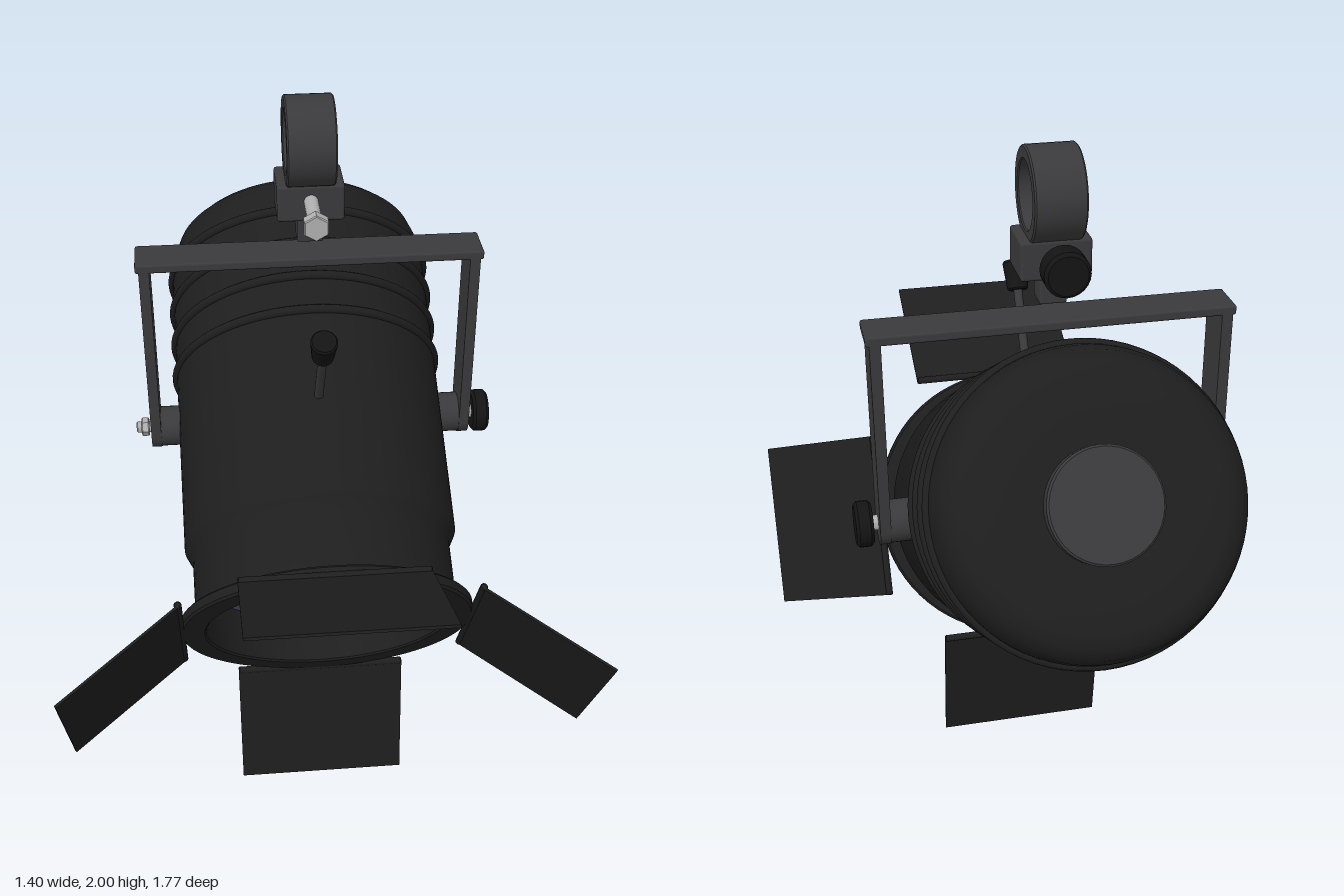
import * as THREE from 'three';
import { toCreasedNormals } from 'three/addons/utils/BufferGeometryUtils.js';
import { RoundedBoxGeometry } from 'three/addons/geometries/RoundedBoxGeometry.js';

const mat = (color, side = THREE.FrontSide) => new THREE.MeshStandardMaterial({ color, side });
const BLACK = mat(0x1e1e1e), KNOB = mat(0x141414), IRON = mat(0x3a3a3c);
const STEEL = mat(0xb0b0b0), GLASS = mat(0x4a5a66), DOOR = mat(0x1e1e1e, THREE.DoubleSide);

const PIVOT_Y = 1.04, PIVOT_Z = -0.213;

function add(parent, name, geometry, material, x = 0, y = 0, z = 0) {
  const mesh = new THREE.Mesh(geometry, material);
  mesh.name = name;
  mesh.position.set(x, y, z);
  parent.add(mesh);
  return mesh;
}

// Turned part around y, from [radius, height] pairs
function turned(profile, segments = 64, crease = 0.6) {
  const points = profile.map(([r, y]) => new THREE.Vector2(r, y));
  return toCreasedNormals(new THREE.LatheGeometry(points, segments), crease);
}

// Chamfered disc or rod centred on the origin, along y
function rod(radius, length, segments = 24, chamfer = 0.003) {
  const h = length / 2;
  return turned([[0, -h], [radius - chamfer, -h], [radius, -h + chamfer],
    [radius, h - chamfer], [radius - chamfer, h], [0, h]], segments);
}

// Lamp housing: local y is the beam axis, local -z is the upper side
function createLamp() {
  const lamp = new THREE.Group();
  lamp.name = 'lamp';

  add(lamp, 'housing', turned([
    [0, -0.612], [0.2, -0.611], [0.29, -0.607], [0.325, -0.595], [0.35, -0.57], [0.364, -0.53],
    [0.371, -0.49], [0.373, -0.46], [0.373, 0.385], [0.368, 0.395], [0.352, 0.425], [0.352, 0.59],
    [0.388, 0.59], [0.394, 0.596], [0.394, 0.619], [0.388, 0.625], [0.33, 0.625], [0.325, 0.62],
    [0.325, 0.48], [0, 0.48],
  ], 72), BLACK);

  for (let i = 0; i < 4; i++) {
    const rib = new THREE.TorusGeometry(0.373, 0.013, 10, 72).rotateX(Math.PI / 2);
    add(lamp, 'coolingRib', rib, BLACK, 0, -0.143 - i * 0.106, 0);
  }
  add(lamp, 'rearCap', rod(0.135, 0.05, 40, 0.005), IRON, 0, -0.625, 0);
  add(lamp, 'lens', turned([[0.322, 0.482], [0.315, 0.494], [0.24, 0.514], [0.16, 0.528],
    [0.08, 0.536], [0, 0.538]], 64), GLASS);

  // Focus lever on the upper side
  add(lamp, 'focusLever', rod(0.012, 0.24, 16).rotateX(Math.PI / 2), IRON, 0, 0.113, -0.48);
  const grip = turned([[0, -0.04], [0.024, -0.04], [0.028, -0.036], [0.034, 0.034], [0.03, 0.04], [0, 0.04]], 24);
  add(lamp, 'focusGrip', grip.rotateX(-Math.PI / 2), KNOB, 0, 0.113, -0.618);

  // Four hinged flaps around the front rim
  for (let i = 0; i < 4; i++) {
    const flap = new THREE.Group();
    flap.name = 'barnDoor';
    flap.rotation.y = i * Math.PI / 2;
    add(flap, 'doorHinge', rod(0.01, 0.48, 16).rotateZ(Math.PI / 2), BLACK, 0, 0.618, 0.392);
    const panel = add(flap, 'doorPanel', new THREE.BoxGeometry(0.48, 0.395, 0.007), DOOR, 0, 0.74, 0.544);
    panel.rotation.x = Math.atan2(0.31, 0.24);
    lamp.add(flap);
  }

  lamp.position.set(0, PIVOT_Y, PIVOT_Z);
  lamp.rotation.x = THREE.MathUtils.degToRad(120);
  return lamp;
}

// Flat U-shaped bracket that carries the lamp
function createYoke() {
  const yoke = new THREE.Group();
  yoke.name = 'yoke';
  const w = 0.058, h = 0.525;
  const outline = new THREE.Shape();
  outline.moveTo(w, h);
  outline.lineTo(-w, h);
  outline.lineTo(-w, 0);
  outline.absarc(0, 0, w, Math.PI, Math.PI * 2, false);
  outline.lineTo(w, h);

  add(yoke, 'yokeBar', new RoundedBoxGeometry(0.92, 0.025, 0.116, 2, 0.006), IRON, 0, 0.53, 0);
  for (const side of [-1, 1]) {
    const arm = new THREE.ExtrudeGeometry(outline, { depth: 0.028, bevelEnabled: false, curveSegments: 16 });
    arm.translate(0, 0, -0.014).rotateY(Math.PI / 2);
    add(yoke, 'yokeArm', toCreasedNormals(arm, 0.5), IRON, side * 0.437, 0, 0);
    add(yoke, 'pivotBoss', rod(0.056, 0.075, 32).rotateZ(Math.PI / 2), IRON, side * 0.4, 0, 0);
  }
  add(yoke, 'pivotShaft', rod(0.02, 0.05, 16).rotateZ(Math.PI / 2), STEEL, 0.455, 0, 0);
  add(yoke, 'tiltKnob', rod(0.06, 0.045, 24, 0.008).rotateZ(Math.PI / 2), KNOB, 0.488, 0, 0);
  add(yoke, 'pivotBolt', rod(0.016, 0.06, 16).rotateZ(Math.PI / 2), STEEL, -0.463, 0, 0);
  add(yoke, 'pivotNut', rod(0.026, 0.022, 6).rotateZ(Math.PI / 2), STEEL, -0.468, 0, 0);
  yoke.position.set(0, PIVOT_Y, PIVOT_Z);
  return yoke;
}

// Pipe clamp above the yoke
function createClamp() {
  const clamp = new THREE.Group();
  clamp.name = 'clamp';
  const ring = turned([[0.082, -0.06], [0.085, -0.063], [0.111, -0.063], [0.115, -0.059], [0.115, 0.059],
    [0.111, 0.063], [0.085, 0.063], [0.082, 0.06], [0.082, -0.06]], 48);
  add(clamp, 'clampRing', ring.rotateZ(Math.PI / 2), IRON, 0, 1.885, 0);
  add(clamp, 'clampBlock', new RoundedBoxGeometry(0.174, 0.098, 0.132, 2, 0.008), IRON, 0, 1.742, 0);
  add(clamp, 'clampStem', new RoundedBoxGeometry(0.068, 0.09, 0.068, 2, 0.005), IRON, 0, 1.664, 0);
  add(clamp, 'clampBolt', rod(0.019, 0.33, 20).rotateX(Math.PI / 2), STEEL, 0, 1.748, 0.03);
  add(clamp, 'boltHead', rod(0.035, 0.033, 6).rotateX(Math.PI / 2), STEEL, 0, 1.748, 0.202);
  add(clamp, 'clampKnob', rod(0.056, 0.064, 24, 0.008).rotateX(Math.PI / 2), KNOB, 0, 1.748, -0.152);
  clamp.position.z = PIVOT_Z;
  return clamp;
}

export function createModel() {
  const model = new THREE.Group();
  model.name = 'stageSpotlight';
  model.add(createLamp(), createYoke(), createClamp());
  return model;
}
